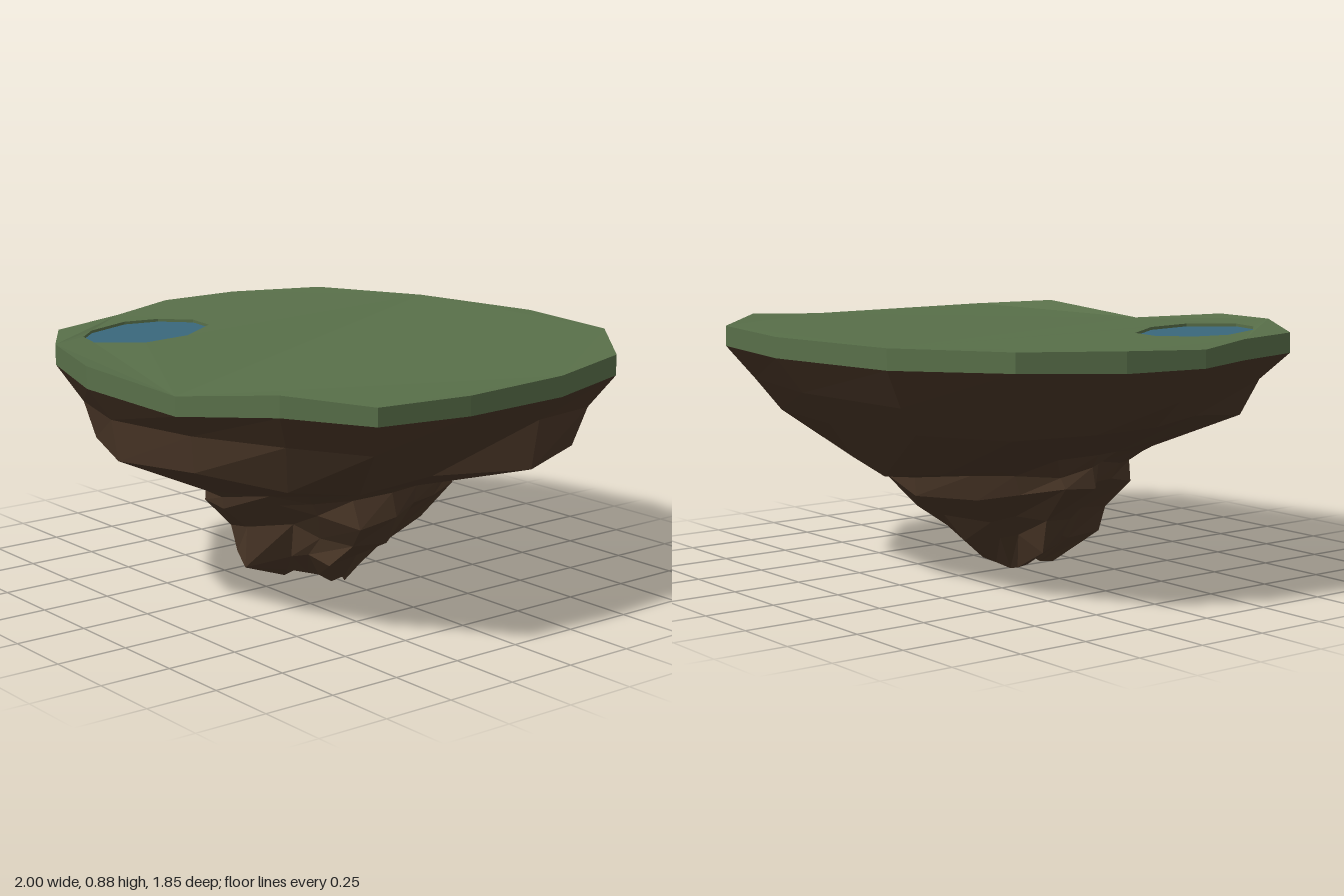
import * as THREE from 'three';

// Island outline: x, z, turf top y, turf bottom y (clockwise seen from above)
const RIM = [
  [-1, -0.02, 0.86, 0.8], [-0.96, -0.31, 0.87, 0.8], [-0.82, -0.63, 0.875, 0.81], [-0.44, -0.84, 0.87, 0.8],
  [0.08, -0.925, 0.87, 0.8], [0.53, -0.855, 0.87, 0.8], [0.9, -0.53, 0.87, 0.8], [0.97, -0.21, 0.85, 0.78],
  [1, 0.21, 0.845, 0.78], [0.975, 0.56, 0.85, 0.79], [0.73, 0.74, 0.87, 0.8], [0.35, 0.86, 0.82, 0.755],
  [-0.06, 0.925, 0.86, 0.785], [-0.41, 0.83, 0.87, 0.8], [-0.72, 0.63, 0.855, 0.785], [-0.83, 0.31, 0.86, 0.79],
];
const POND = [
  [-0.57, 0.15], [-0.45, 0.165], [-0.32, 0.35], [-0.295, 0.54], [-0.4, 0.68],
  [-0.52, 0.65], [-0.61, 0.56], [-0.69, 0.37], [-0.665, 0.24],
];
// Lower shelf edge: y and reach factor, one per outline point
const SHELF = [
  [0.59, 1], [0.58, 1], [0.57, 1], [0.57, 1], [0.57, 1], [0.57, 1], [0.56, 1.02], [0.53, 1.03],
  [0.54, 0.88], [0.5, 0.82], [0.52, 0.93], [0.55, 1], [0.53, 1], [0.55, 1], [0.56, 1], [0.59, 1],
];
// Rock rings: y at front and back, y at the sides, reach to +x, -x, +z, -z, depth of the crags, y jitter
const RINGS = [
  [0.67, 0.69, 0.92, 0.88, 0.84, 0.83, 0, 0.02],
  [0, 0, 0.88, 0.77, 0.82, 0.73, 0, 0],
  [0.38, 0.46, 0.56, 0.48, 0.48, 0.53, 0.05, 0.02],
  [0.36, 0.41, 0.51, 0.45, 0.43, 0.42, 0.14, 0.03],
  [0.31, 0.34, 0.54, 0.47, 0.42, 0.4, 0.2, 0.05],
  [0.22, 0.22, 0.45, 0.33, 0.34, 0.3, 0.28, 0.05],
  [0.11, 0.13, 0.3, 0.26, 0.33, 0.21, 0.32, 0.07],
  [0.04, 0.04, 0.18, 0.11, 0.16, 0.08, 0.3, 0.06],
  [0.09, 0.09, 0, 0, 0, 0, 0, 0],
];

function seeded(seed) {
  return () => {
    seed = (seed * 16807) % 2147483647;
    return seed / 2147483647;
  };
}

function meshFrom(name, triangles, color) {
  const geo = new THREE.BufferGeometry();
  geo.setAttribute('position', new THREE.Float32BufferAttribute(triangles.flat(2), 3));
  geo.computeVertexNormals();
  const mesh = new THREE.Mesh(geo, new THREE.MeshStandardMaterial({ color, flatShading: true }));
  mesh.name = name;
  return mesh;
}

// Joins a stack of closed rings, listed from top to bottom, with outward faces
function loft(rings) {
  const tris = [];
  for (let r = 0; r + 1 < rings.length; r++) {
    const up = rings[r], low = rings[r + 1], n = up.length;
    for (let i = 0; i < n; i++) {
      const j = (i + 1) % n;
      tris.push([up[i], up[j], low[j]], [up[i], low[j], low[i]]);
    }
  }
  return tris;
}

// Fills an outline with upward faces, leaving an optional hole
function fill(outline, hole = []) {
  const flat = (pts) => pts.map((p) => new THREE.Vector2(p[0], p[2]));
  const all = [...outline, ...hole];
  return THREE.ShapeUtils.triangulateShape(flat(outline), hole.length ? [flat(hole)] : []).map((f) => {
    const [a, b, c] = f.map((i) => all[i]);
    const ny = (b[2] - a[2]) * (c[0] - a[0]) - (b[0] - a[0]) * (c[2] - a[2]);
    return ny > 0 ? [a, b, c] : [a, c, b];
  });
}

export function createModel() {
  const island = new THREE.Group();
  island.name = 'floatingIsland';

  const turfTop = RIM.map(([x, z, top]) => [x, top, z]);
  const turfLow = RIM.map(([x, z, , low]) => [x, low, z]);
  const bank = POND.map(([x, z]) => [x, 0.86, z]);
  const water = POND.map(([x, z]) => [x, 0.85, z]);

  // Turf: top with the pond cut out, outer band and pond bank
  island.add(meshFrom('turf', [...fill(turfTop, bank), ...loft([turfTop, turfLow]), ...loft([water, bank])], 0x586f49));
  island.add(meshFrom('pondWater', fill(water), 0x3a687c));

  // Rock: broad upper shelves narrowing to a craggy root of paired columns
  const rand = seeded(77);
  const rock = RINGS.map(([yEnds, ySides, right, left, front, back, crag, jitter], r) =>
    RIM.map(([x, z], i) => {
      const groove = (Math.floor(i / 2) % 2) * crag;
      const side = (x * x) / (x * x + z * z);
      const ringY = yEnds + (ySides - yEnds) * side;
      const [y, reach] = r === 1 ? SHELF[i] : [ringY, 1 - groove - rand() * crag * 0.25];
      return [
        x * (x > 0 ? right : left) * reach,
        y + (rand() - 0.5) * jitter,
        (z / 0.925) * (z > 0 ? front : back) * reach,
      ];
    }));
  const tip = rock[7];
  const lowest = Math.min(...tip.map((p) => p[1]));
  tip.forEach((p) => { p[1] -= lowest; });
  island.add(meshFrom('rock', loft([turfLow, ...rock]), 0x483526));

  return island;
}
